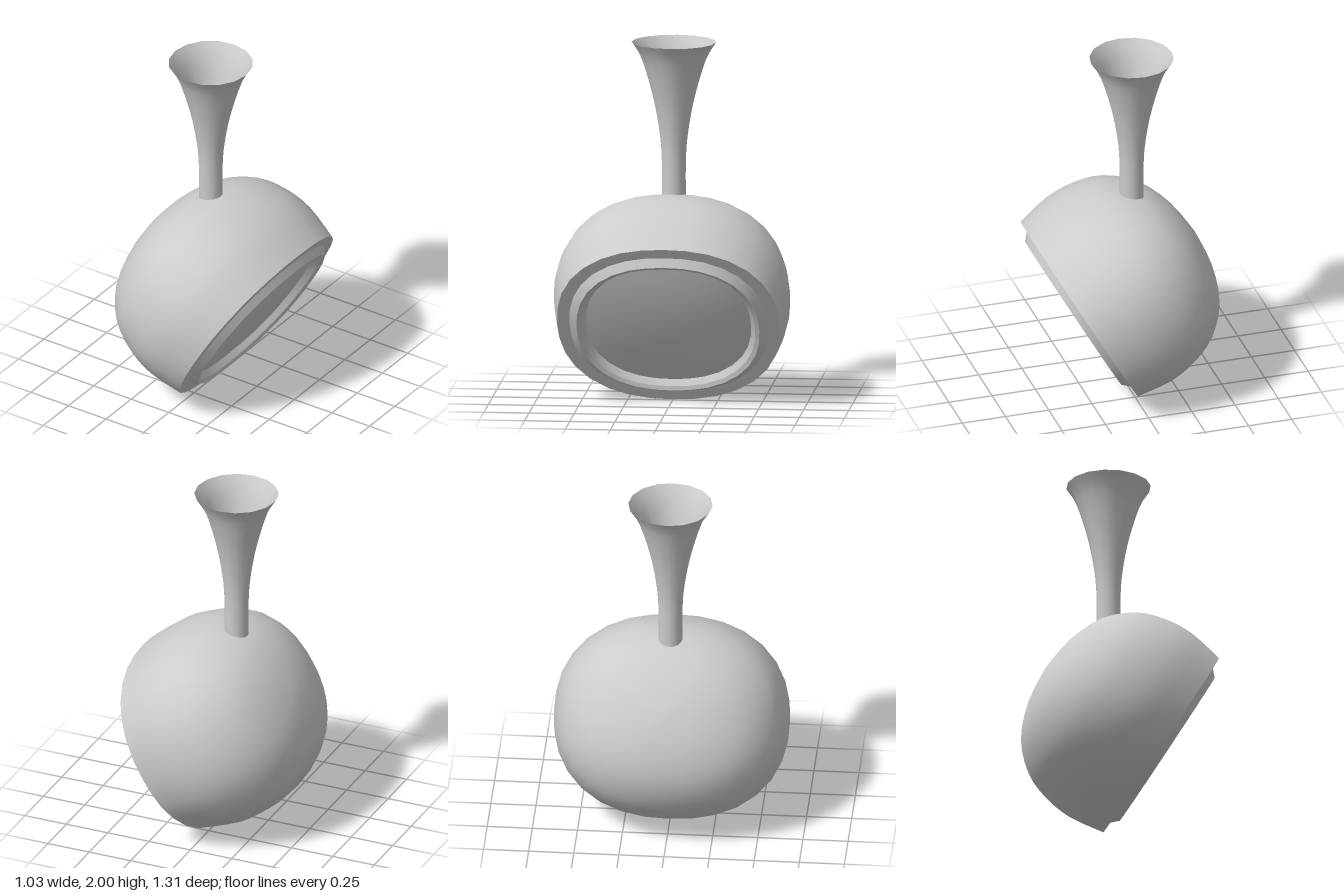
import * as THREE from 'three';
import { mergeVertices, toCreasedNormals } from 'three/addons/utils/BufferGeometryUtils.js';

const WIDTH_RATIO = 1.155; // housing is wider (z) than tall
const POWER = 2.28;        // roundness of the squarish cross-section

const v2 = (pts) => pts.map(([r, n]) => new THREE.Vector2(r, n));

// Lathe whose circular sections are turned into wide rounded squares
function squircleLathe(points, segments) {
  const geo = new THREE.LatheGeometry(points, segments);
  const p = geo.attributes.position;
  for (let i = 0; i < p.count; i++) {
    const x = p.getX(i), z = p.getZ(i);
    const r = Math.hypot(x, z);
    if (r < 1e-6) continue;
    const f = Math.pow(Math.abs(x / r) ** POWER + Math.abs(z / r) ** POWER, -1 / POWER);
    p.setX(i, x * f);
    p.setZ(i, z * f * WIDTH_RATIO);
  }
  geo.deleteAttribute('uv');
  geo.deleteAttribute('normal');
  const merged = mergeVertices(geo, 1e-5);
  merged.computeVertexNormals();
  return merged;
}

export function createModel() {
  const model = new THREE.Group();
  model.name = 'hangingTelevision';
  const grey = new THREE.MeshStandardMaterial({ color: 0xcccccc, side: THREE.DoubleSide });

  const add = (parent, name, geometry) => {
    const mesh = new THREE.Mesh(geometry, grey);
    mesh.name = name;
    parent.add(mesh);
    return mesh;
  };

  // Tilted head: local +y is the direction the screen faces
  const head = new THREE.Group();
  head.name = 'head';
  head.position.set(0.246, 0.467, 0);
  head.rotation.z = -THREE.MathUtils.degToRad(119.8);
  model.add(head);

  // Rounded shell, from the back pole to the front rim
  const shellCurve = new THREE.SplineCurve(v2([
    [0, -0.77], [0.19, -0.745], [0.37, -0.665], [0.495, -0.525],
    [0.55, -0.37], [0.565, -0.2], [0.535, 0],
  ]));
  const shellPoints = shellCurve.getPoints(18);
  shellPoints[0].x = 0;
  add(head, 'shell', squircleLathe(shellPoints, 32));

  // Flat rim, raised lip and inner wall around the screen
  const bezel = squircleLathe(v2([
    [0.535, 0], [0.476, 0], [0.439, 0.04], [0.418, 0.028], [0.396, -0.008],
  ]), 32);
  add(head, 'bezel', toCreasedNormals(bezel, 0.4));

  // Gently domed screen
  add(head, 'screen', squircleLathe(v2([
    [0.396, -0.008], [0.3, 0.01], [0.2, 0.022], [0.1, 0.029], [0, 0.031],
  ]), 32));

  // Hollow stem flaring into an open trumpet
  const stemCurve = new THREE.SplineCurve(v2([
    [0.067, 1.1], [0.067, 1.34], [0.08, 1.5], [0.115, 1.69], [0.177, 1.9], [0.234, 2],
  ]));
  const stem = add(model, 'stem', new THREE.LatheGeometry(stemCurve.getPoints(15), 16));
  stem.position.x = -0.057;

  return model;
}
